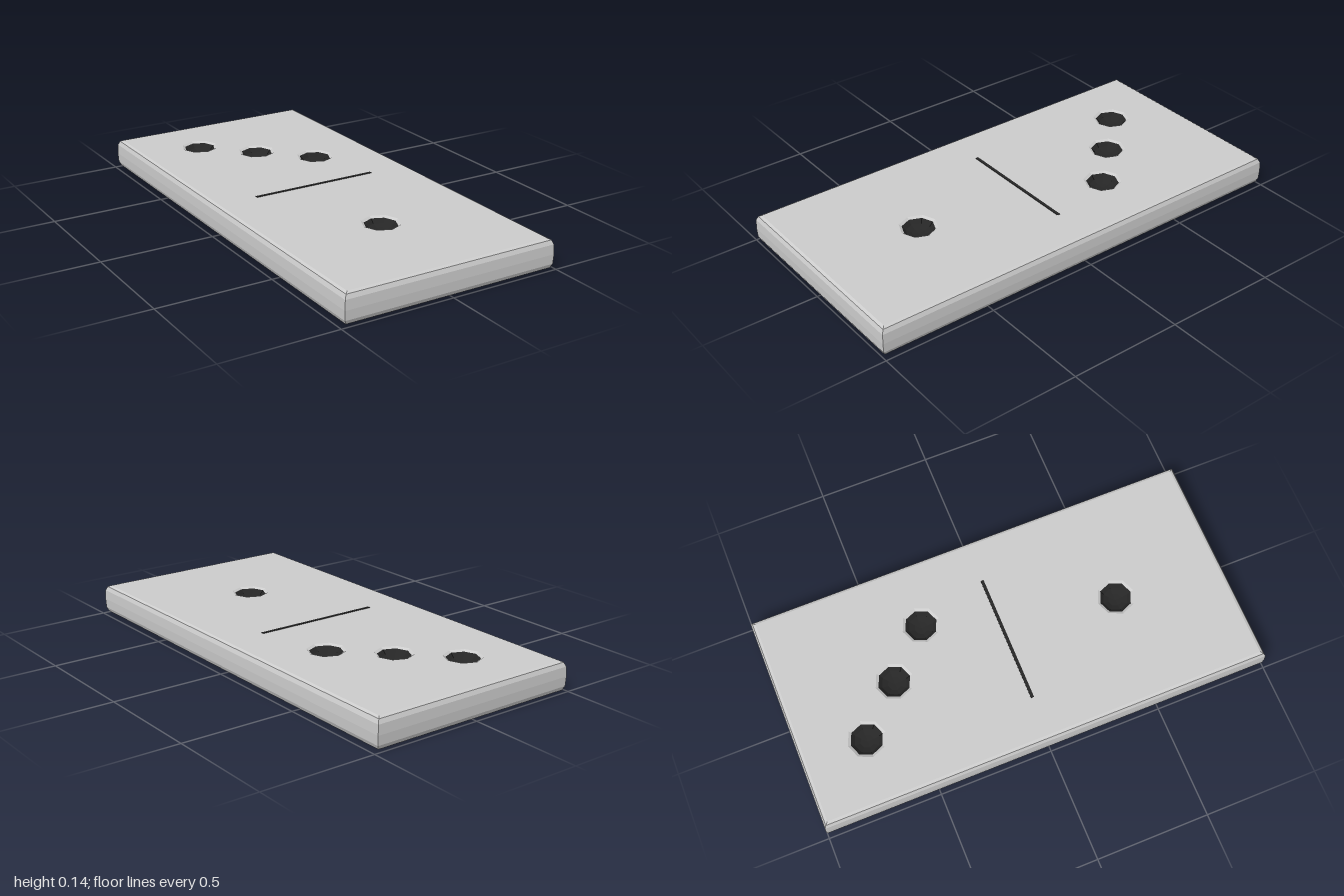
import * as THREE from 'three';

const HALF_W = 0.485, HALF_L = 1, BOTTOM = 0.003, TOP = 0.134;
const RIM_R = 0.083, PIP_R = 0.071;

const grey = new THREE.MeshStandardMaterial({ color: 0xcccccc, flatShading: true });
const dark = new THREE.MeshStandardMaterial({ color: 0x262626, flatShading: true });

function addMesh(parent, name, geometry, material) {
  const mesh = new THREE.Mesh(geometry, material);
  mesh.name = name;
  parent.add(mesh);
  return mesh;
}

// Chamfered side wall: a stack of rectangles, each [height, inset].
function edgeGeometry() {
  const rings = [
    [BOTTOM, 0.022], [0.009, 0.01], [0.027, 0.002], [0.068, 0],
    [0.11, 0.002], [0.128, 0.01], [TOP, 0.022],
  ].map(([y, i]) => {
    const w = HALF_W - i, l = HALF_L - i;
    return [[w, y, l], [w, y, -l], [-w, y, -l], [-w, y, l]];
  });
  const positions = [];
  for (let r = 0; r < rings.length - 1; r++) {
    for (let k = 0; k < 4; k++) {
      const n = (k + 1) % 4;
      const a = rings[r][k], b = rings[r][n], c = rings[r + 1][n], d = rings[r + 1][k];
      positions.push(...a, ...b, ...c, ...a, ...c, ...d);
    }
  }
  const geometry = new THREE.BufferGeometry();
  geometry.setAttribute('position', new THREE.Float32BufferAttribute(positions, 3));
  geometry.computeVertexNormals();
  return geometry;
}

// Flat face with an octagonal hole for every pip; side is 1 (top) or -1 (bottom).
function faceGeometry(pips, side) {
  const w = HALF_W - 0.022, l = HALF_L - 0.022;
  const shape = new THREE.Shape([
    new THREE.Vector2(-w, -l), new THREE.Vector2(w, -l),
    new THREE.Vector2(w, l), new THREE.Vector2(-w, l),
  ]);
  for (const [x, z] of pips) {
    const corners = [];
    for (let k = 0; k < 8; k++) {
      const a = (k * Math.PI) / 4;
      corners.push(new THREE.Vector2(x + RIM_R * Math.cos(a), -side * z + RIM_R * Math.sin(a)));
    }
    shape.holes.push(new THREE.Path(corners));
  }
  return new THREE.ShapeGeometry(shape).rotateX((-side * Math.PI) / 2);
}

function lathe(points) {
  return new THREE.LatheGeometry(points.map(([r, y]) => new THREE.Vector2(r, y)), 8);
}

export function createModel() {
  const model = new THREE.Group();
  model.name = 'dominoTile';
  addMesh(model, 'bevelledEdge', edgeGeometry(), grey);

  // Pip positions as [x, z]
  const s = 0.195, c = 0.515;
  const square = (z) => [[-s, z - s], [s, z - s], [-s, z + s], [s, z + s]];
  const faces = [
    { name: 'top', side: 1, y: TOP, pips: [[-s, -c - s], [0, -c], [s, -c + s], [0, 0.508]] },
    { name: 'bottom', side: -1, y: BOTTOM, pips: [...square(-c), [0, -c], ...square(c)] },
  ];

  const rim = lathe([[RIM_R, 0], [PIP_R, -0.007]]);
  const bowl = lathe([[PIP_R, -0.007], [0.055, -0.024], [0.03, -0.034], [0, -0.037]]);

  for (const { name, side, y, pips } of faces) {
    addMesh(model, `${name}Face`, faceGeometry(pips, side), grey).position.y = y;
    // Recessed pips with a shallow grey rim
    for (const [x, z] of pips) {
      const pip = new THREE.Group();
      pip.name = `${name}Pip`;
      addMesh(pip, 'pipRim', rim, grey);
      addMesh(pip, 'pipBowl', bowl, dark);
      pip.position.set(x, y, z);
      if (side < 0) pip.rotation.x = Math.PI;
      model.add(pip);
    }
  }

  // Dividing bar, showing on both faces
  addMesh(model, 'dividingLine', new THREE.BoxGeometry(0.575, 0.136, 0.014), dark).position.y = 0.068;

  return model;
}
